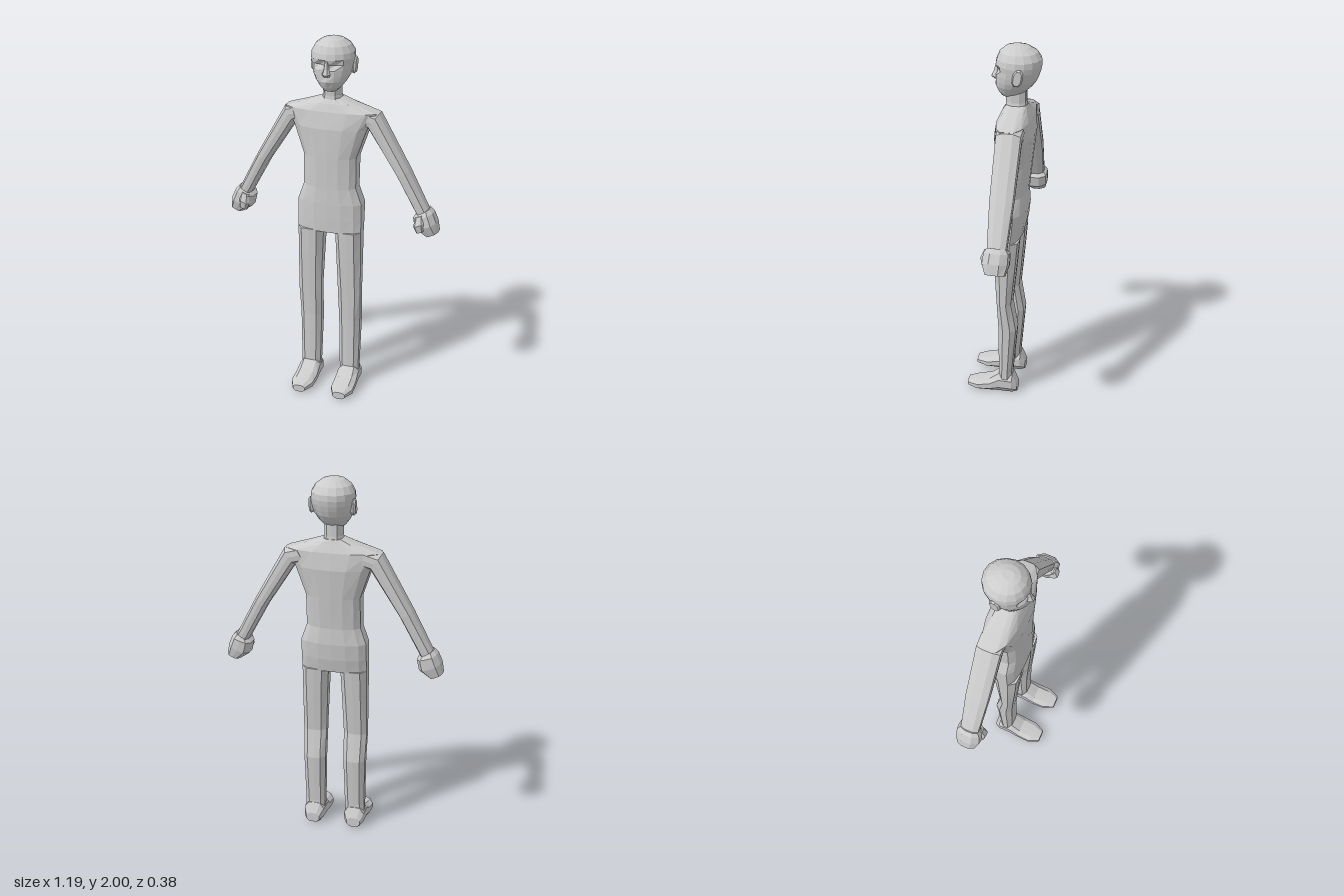
import * as THREE from 'three';

const material = new THREE.MeshStandardMaterial({ color: 0xcccccc, flatShading: true });

// Cross-section outlines, in units of the half width and half depth
const LIMB = [[1, -0.4], [1, 0.4], [0.6, 0.95], [0, 1], [-0.6, 0.95], [-1, 0.4], [-1, -0.4], [-0.6, -0.95], [0, -1], [0.6, -0.95]];
const TRUNK = [[1, -0.4], [1, 0.4], [0.8, 0.75], [0.42, 0.96], [0, 1], [-0.42, 0.96], [-0.8, 0.75],
  [-1, 0.4], [-1, -0.4], [-0.8, -0.75], [-0.42, -0.96], [0, -1], [0.42, -0.96], [0.8, -0.75]];
const ROUND = Array.from({ length: 16 }, (_, i) => [Math.cos(i * Math.PI / 8), Math.sin(i * Math.PI / 8)]);

// Ring of points around a centre; rings advance along u x v
const ring = (outline, c, u, v) => outline.map(([a, b]) => c.map((k, i) => k + a * u[i] + b * v[i]));

// Ring spanning inner point p to outer point q in the xy plane, from zf (front) to zb (back)
const span = (outline, p, q, zf, zb) => ring(outline,
  [(p[0] + q[0]) / 2, (p[1] + q[1]) / 2, (zf + zb) / 2],
  [(q[0] - p[0]) / 2, (q[1] - p[1]) / 2, 0], [0, 0, (zb - zf) / 2]);

const level = (outline, y, x0, x1, zf, zb) => span(outline, [x0, y], [x1, y], zf, zb);

// Skin a stack of rings and close both ends
function loft(rings) {
  const n = rings[0].length, last = (rings.length - 1) * n;
  const points = rings.flat(), index = [];
  for (let i = 0; i < rings.length - 1; i++) {
    for (let j = 0; j < n; j++) {
      const a = i * n + j, b = i * n + (j + 1) % n;
      index.push(a, b, b + n, a, b + n, a + n);
    }
  }
  for (let j = 1; j < n - 1; j++) index.push(0, j + 1, j, last, last + j, last + j + 1);
  const geometry = new THREE.BufferGeometry();
  geometry.setAttribute('position', new THREE.Float32BufferAttribute(points.flat(), 3));
  geometry.setIndex(index);
  geometry.computeVertexNormals();
  return geometry;
}

function mirrored(geometry) {
  const copy = geometry.clone().scale(-1, 1, 1);
  const index = copy.index.array;
  for (let i = 0; i < index.length; i += 3) [index[i], index[i + 1]] = [index[i + 1], index[i]];
  copy.computeVertexNormals();
  return copy;
}

export function createModel() {
  const model = new THREE.Group();
  model.name = 'figure';
  const add = (name, geometry) => {
    const mesh = new THREE.Mesh(geometry, material);
    mesh.name = name;
    model.add(mesh);
  };
  const addPair = (name, geometry) => {
    add('left' + name, geometry);
    add('right' + name, mirrored(geometry));
  };

  // Torso from crotch to neck base: y, half width, front z, back z
  add('torso', loft([
    [0.945, 0.178, 0.042, -0.098], [1.02, 0.178, 0.045, -0.115], [1.11, 0.178, 0.046, -0.125],
    [1.2, 0.146, 0.045, -0.122], [1.37, 0.146, 0.048, -0.14], [1.53, 0.2, 0.048, -0.155],
    [1.62, 0.25, 0.03, -0.143], [1.66, 0.125, 0.012, -0.125], [1.685, 0.055, -0.005, -0.115],
  ].map(([y, w, f, b]) => level(TRUNK, y, -w, w, f, b))));

  // Neck
  add('neck', loft([
    [1.66, 0.055, 0, -0.115], [1.7, 0.046, -0.005, -0.11], [1.79, 0.046, 0, -0.11],
  ].map(([y, w, f, b]) => level(LIMB, y, -w, w, f, b))));

  // Head with sunken eyes and a slight mouth: y, half width, front z, back z
  const headRings = [
    [1.73, 0.035, 0.02, -0.06], [1.75, 0.058, 0.035, -0.1], [1.785, 0.084, 0.05, -0.138],
    [1.815, 0.1, 0.05, -0.16], [1.845, 0.108, 0.05, -0.173], [1.872, 0.113, 0.046, -0.182],
    [1.9, 0.116, 0.052, -0.188], [1.93, 0.113, 0.046, -0.187], [1.965, 0.093, 0.03, -0.165],
    [1.99, 0.058, 0, -0.125], [2, 0.025, -0.03, -0.09],
  ].map(([y, w, f, b]) => level(ROUND, y, -w, w, f, b));
  for (const j of [11, 13]) headRings[5][j][2] -= 0.016;
  headRings[2][12][2] += 0.005;
  add('head', loft(headRings));

  // Nose
  add('nose', loft([
    [1.815, 0.018, 0.058], [1.828, 0.021, 0.074], [1.855, 0.013, 0.062], [1.895, 0.009, 0.052],
  ].map(([y, w, f]) => level(LIMB, y, -w, w, f, 0.02))));

  // Ears: x, half height, half depth
  addPair('Ear', loft([[0.09, 0.036, 0.02], [0.112, 0.044, 0.027], [0.122, 0.036, 0.02]]
    .map(([x, h, d]) => ring(LIMB, [x, 1.857, -0.083], [0, h, -0.006], [0, 0, d]))));

  // Arms from wrist to shoulder: inner point, outer point, front z, back z
  addPair('Arm', loft([
    [[0.48, 1.07], [0.542, 1.1], -0.015, -0.115], [[0.36, 1.29], [0.424, 1.325], -0.002, -0.128],
    [[0.2, 1.535], [0.258, 1.617], 0.002, -0.132], [[0.14, 1.55], [0.19, 1.635], 0.005, -0.132],
  ].map((s) => span(LIMB, ...s))));

  // Hands from fingertips to wrist
  addPair('Hand', loft([
    [[0.525, 0.965], [0.593, 0.995], -0.015, -0.118], [[0.468, 1.005], [0.582, 1.05], 0.005, -0.132],
    [[0.455, 1.065], [0.56, 1.1], 0, -0.132], [[0.48, 1.09], [0.54, 1.12], -0.015, -0.115],
  ].map((s) => span(LIMB, ...s))));

  // Thumbs
  addPair('Thumb', loft([
    [[0.485, 0.995], [0.525, 1.01], 0.012, -0.03], [[0.468, 1.03], [0.525, 1.055], 0.02, -0.04],
    [[0.475, 1.08], [0.515, 1.095], 0, -0.04],
  ].map((s) => span(LIMB, ...s))));

  // Legs from ankle to hip: y, inner x, outer x, front z, back z
  addPair('Leg', loft([
    [0.08, 0.062, 0.168, 0.01, -0.066], [0.13, 0.058, 0.168, 0.01, -0.066], [0.41, 0.052, 0.173, 0.012, -0.09],
    [0.57, 0.049, 0.178, 0.02, -0.062], [0.63, 0.047, 0.178, 0.024, -0.068], [0.8, 0.04, 0.178, 0.035, -0.085],
    [0.95, 0.033, 0.178, 0.042, -0.098],
  ].map((s) => level(LIMB, ...s))));

  // Feet from heel to toe: z, inner x, outer x, bottom y, top y
  addPair('Foot', loft([
    [-0.095, 0.08, 0.155, 0.006, 0.06], [-0.068, 0.06, 0.172, 0, 0.115], [0.005, 0.056, 0.174, 0, 0.12],
    [0.06, 0.054, 0.178, 0, 0.078], [0.13, 0.056, 0.18, 0, 0.06], [0.188, 0.083, 0.153, 0.006, 0.046],
  ].map(([z, x0, x1, y0, y1]) =>
    ring(LIMB, [(x0 + x1) / 2, (y0 + y1) / 2, z], [(x1 - x0) / 2, 0, 0], [0, (y1 - y0) / 2, 0]))));

  return model;
}
